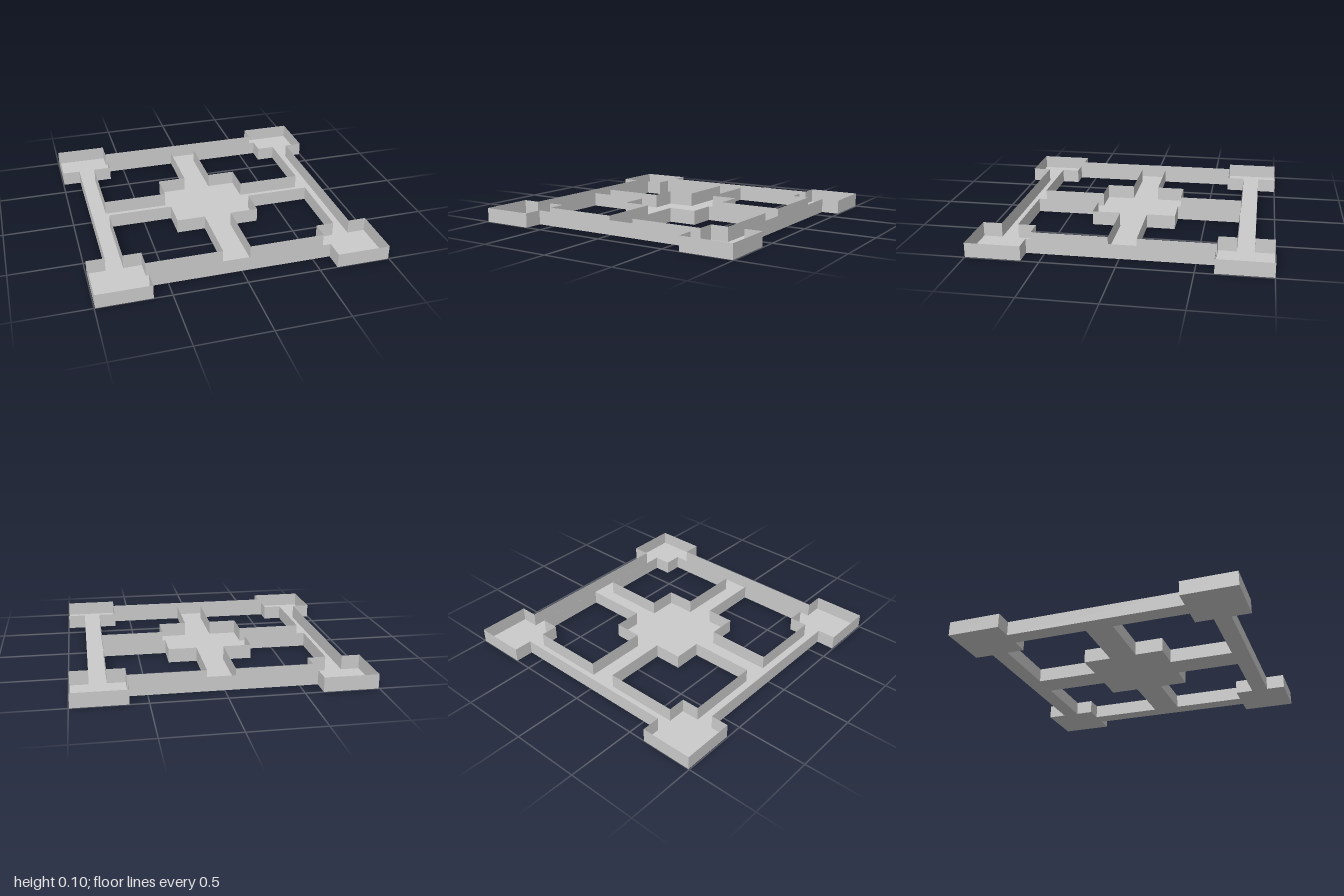
import * as THREE from 'three';

const HEIGHT = 0.1;
const EDGE_X = 0.994, EDGE_Z = 1; // outer edges of the corner pads
const PAD = 0.624;                // inner edge of the corner pads
const RAIL_OUT = 0.868, RAIL_IN = 0.75;
const HUB = 0.297, SPOKE = 0.097; // half widths of the centre square and cross

// Quarter outlines, mirrored into the four quadrants
const outerQuarter = [[RAIL_OUT, PAD], [EDGE_X, PAD], [EDGE_X, EDGE_Z], [PAD, EDGE_Z], [PAD, RAIL_OUT]];
const openingQuarter = [
  [HUB, SPOKE], [RAIL_IN, SPOKE], [RAIL_IN, PAD], [PAD, PAD],
  [PAD, RAIL_IN], [SPOKE, RAIL_IN], [SPOKE, HUB], [HUB, HUB],
];
const quadrants = [[1, 1], [-1, 1], [-1, -1], [1, -1]];

function mirrored(points, [sx, sy]) {
  const out = points.map(([x, y]) => new THREE.Vector2(x * sx, y * sy));
  return sx * sy < 0 ? out.reverse() : out;
}

// Thin upright wall following a closed outline (plan y becomes -z)
function wallGeometry(loop) {
  const pos = [];
  loop.forEach((a, i) => {
    const b = loop[(i + 1) % loop.length];
    pos.push(a.x, 0, -a.y, b.x, 0, -b.y, b.x, HEIGHT, -b.y);
    pos.push(a.x, 0, -a.y, b.x, HEIGHT, -b.y, a.x, HEIGHT, -a.y);
  });
  const geo = new THREE.BufferGeometry();
  geo.setAttribute('position', new THREE.Float32BufferAttribute(pos, 3));
  geo.computeVertexNormals();
  return geo;
}

export function createModel() {
  const group = new THREE.Group();
  group.name = 'openTray';
  const material = new THREE.MeshStandardMaterial({ color: 0xcccccc, flatShading: true, side: THREE.DoubleSide });
  const add = (name, geometry) => {
    const mesh = new THREE.Mesh(geometry, material);
    mesh.name = name;
    group.add(mesh);
  };

  const outline = quadrants.flatMap(q => mirrored(outerQuarter, q));
  const openings = quadrants.map(q => mirrored(openingQuarter, q));

  // Flat floor with four window openings
  const floor = new THREE.Shape(outline);
  openings.forEach(loop => floor.holes.push(new THREE.Path(loop)));
  add('floor', new THREE.ShapeGeometry(floor).rotateX(-Math.PI / 2));

  // Walls around the outside and around each opening; openings wind the other way
  add('outerWall', wallGeometry(outline));
  openings.forEach((loop, i) => add(`openingWall${i + 1}`, wallGeometry([...loop].reverse())));

  return group;
}
